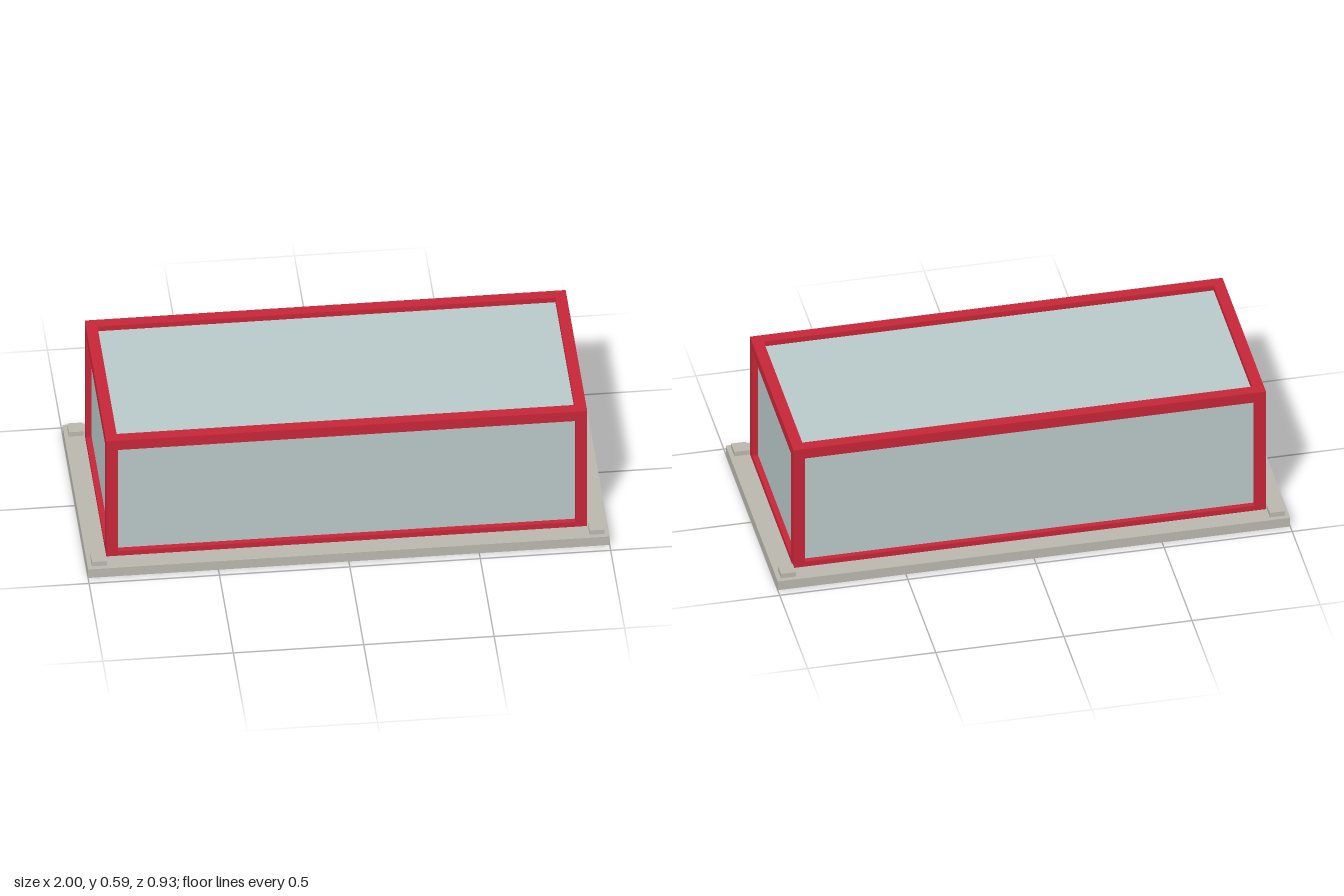
import * as THREE from 'three';

export function createModel() {
  const model = new THREE.Group();
  model.name = 'glazedBoxOnPlinth';
  const material = (name, color) => {
    const m = new THREE.MeshStandardMaterial({ color });
    m.name = name;
    return m;
  };
  const stone = material('warm grey', 0xbab6ae);
  const red = material('red', 0xc62638);
  const glass = material('pale blue grey', 0xb9c8c8);

  const box = (name, mat, size, pos) => {
    const mesh = new THREE.Mesh(new THREE.BoxGeometry(...size), mat);
    mesh.name = name;
    mesh.position.set(...pos);
    model.add(mesh);
  };

  // Bar centre lines of the frame
  const X = 0.9, Z = 0.367, Y0 = 0.04, Y1 = 0.564, bar = 0.044;
  const midY = (Y0 + Y1) / 2;

  // Plinth and inner glazed volume, recessed half a bar behind the frame
  box('basePlate', stone, [2, 0.04, 0.93], [0, 0.02, 0]);
  box('glazing', glass, [2 * X, Y1 - Y0, 2 * Z], [0, midY, 0]);

  // Corner posts and corner pads
  for (const sx of [-1, 1]) {
    for (const sz of [-1, 1]) {
      box('cornerPost', red, [bar, Y1 - Y0 + bar / 2, bar], [sx * X, midY + bar / 4, sz * Z]);
      box('cornerPad', stone, [0.058, 0.02, 0.058], [sx * 0.954, 0.05, sz * 0.417]);
    }
  }

  // Rails between the posts; the lower ones stand on the plinth
  for (const [y, h, name] of [[0.051, 0.022, 'bottomRail'], [Y1, bar, 'topRail']]) {
    for (const s of [-1, 1]) {
      box(name, red, [2 * X - bar, h, bar], [0, y, s * Z]);
      box(name, red, [bar, h, 2 * Z - bar], [s * X, y, 0]);
    }
  }
  return model;
}
